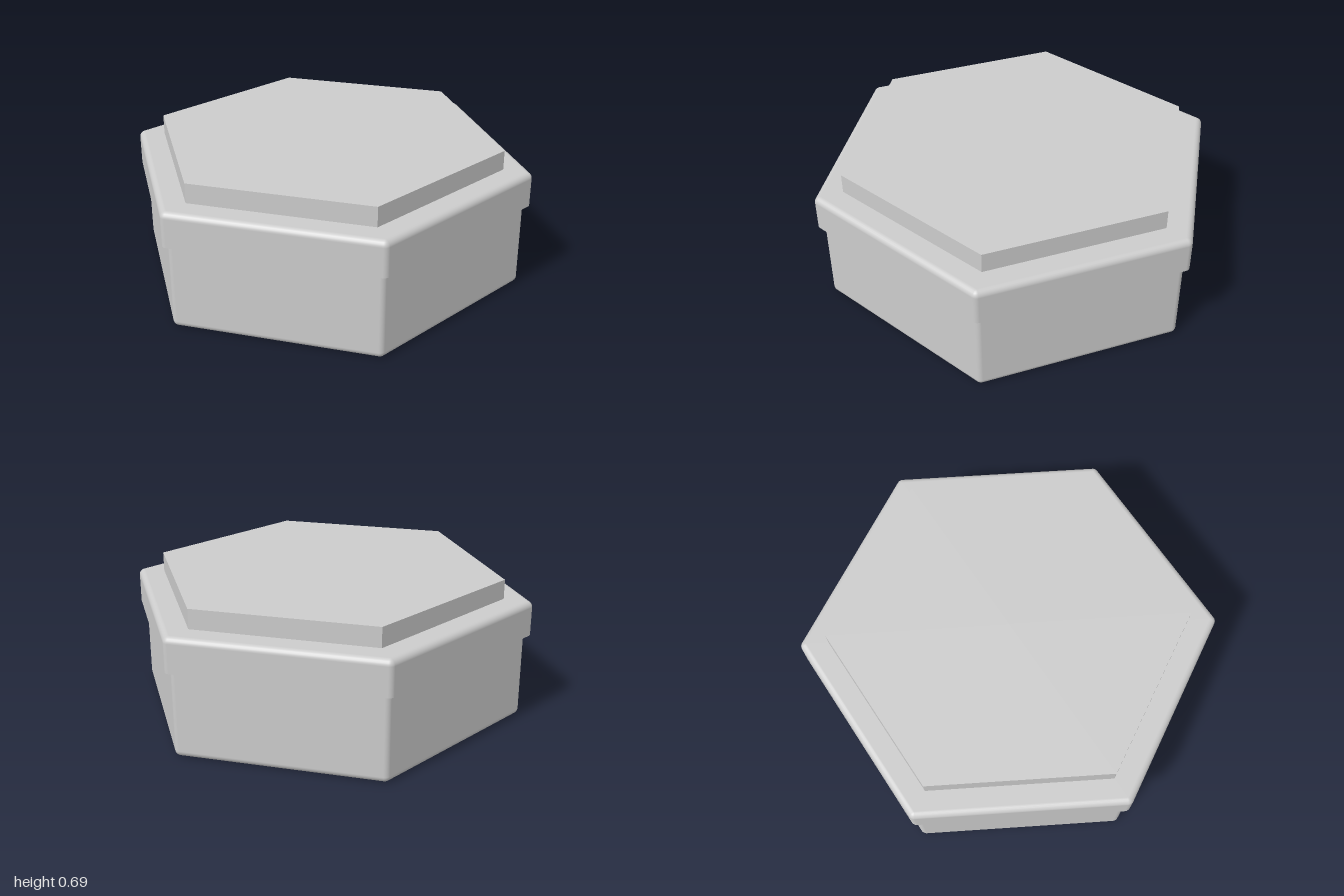
import * as THREE from 'three';

const material = new THREE.MeshStandardMaterial({ color: 0xcccccc });

// Hexagonal prism from y = 0 to height, with rounded corners and a rounded top rim.
function roundedHex(apothem, height, radius) {
  const core = (apothem - radius) / Math.cos(Math.PI / 6);
  const cornerSteps = 6, rimSteps = 6;

  // Cross-section rows: core scale, offset, y, outward normal, upward normal
  const rows = [
    [0, 0, 0, 0, -1],
    [1, radius, 0, 0, -1],
    [1, radius, 0, 1, 0],
  ];
  for (let i = 0; i <= rimSteps; i++) {
    const a = (i / rimSteps) * Math.PI / 2, c = Math.cos(a), s = Math.sin(a);
    rows.push([1, radius * c, height - radius + radius * s, c, s]);
  }
  rows.push([0, 0, height, 0, 1]);

  // Outline samples: an arc around each of the six corners
  const outline = [];
  for (let k = 0; k < 6; k++) {
    for (let j = 0; j <= cornerSteps; j++) {
      outline.push([k * Math.PI / 3, (k - 0.5 + j / cornerSteps) * Math.PI / 3]);
    }
  }

  const n = outline.length, positions = [], normals = [], index = [];
  rows.forEach(([scale, offset, y, out, up], r) => {
    outline.forEach(([corner, angle], i) => {
      const c = Math.cos(angle), s = Math.sin(angle);
      positions.push(
        scale * core * Math.cos(corner) + offset * c, y,
        scale * core * Math.sin(corner) + offset * s);
      normals.push(out * c, up, out * s);
      if (r === rows.length - 1) return;
      const a = r * n + i, b = r * n + (i + 1) % n;
      index.push(a, a + n, b, b, a + n, b + n);
    });
  });

  const geometry = new THREE.BufferGeometry();
  geometry.setAttribute('position', new THREE.Float32BufferAttribute(positions, 3));
  geometry.setAttribute('normal', new THREE.Float32BufferAttribute(normals, 3));
  geometry.setIndex(index);
  return geometry;
}

export function createModel() {
  const group = new THREE.Group();
  const add = (name, geometry, y) => {
    const mesh = new THREE.Mesh(geometry, material);
    mesh.name = name;
    mesh.position.y = y;
    group.add(mesh);
    return mesh;
  };

  // Box body, turned over so its rounded rim is at the bottom
  add('boxBody', roundedHex(0.842, 0.42, 0.03), 0.42).rotation.x = Math.PI;

  // Overhanging lid with a rounded upper rim
  add('lid', roundedHex(0.87, 0.17, 0.03), 0.42);

  // Sharp-edged raised panel on the lid, corners pointing along x
  const panel = new THREE.CylinderGeometry(0.865, 0.865, 0.095, 6).toNonIndexed();
  panel.computeVertexNormals();
  add('lidPanel', panel, 0.6375).rotation.y = Math.PI / 2;

  return group;
}
